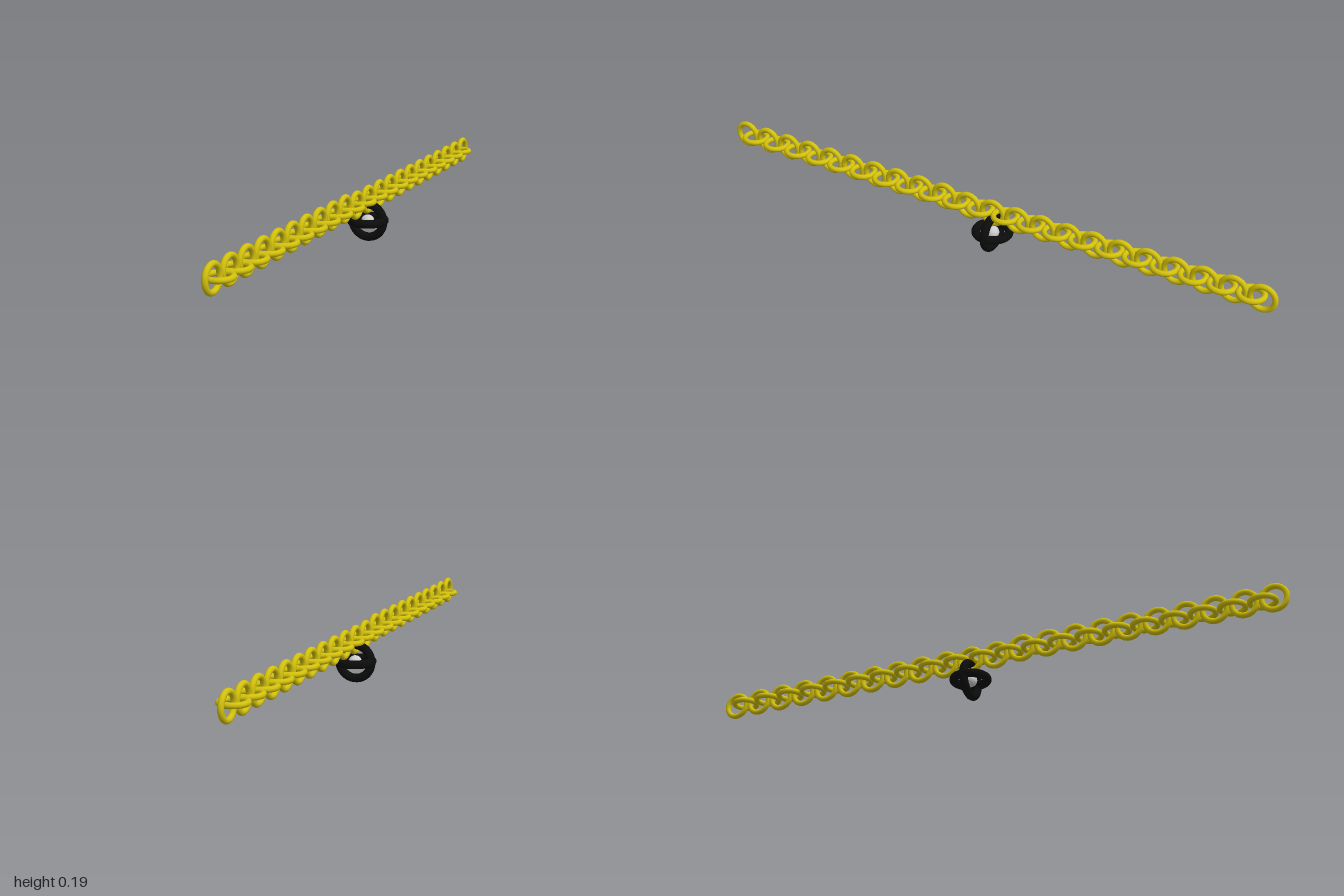
import * as THREE from 'three';

export function createModel() {
  const model = new THREE.Group();
  const gold = new THREE.MeshStandardMaterial({ color: 0xd2c00c });
  const black = new THREE.MeshStandardMaterial({ color: 0x0c0c0c });
  const grey = new THREE.MeshStandardMaterial({ color: 0xcccccc });

  const add = (parent, name, geometry, material, y, z) => {
    const mesh = new THREE.Mesh(geometry, material);
    mesh.name = name;
    mesh.position.set(0, y, z);
    parent.add(mesh);
    return mesh;
  };

  // Chain: upright links alternate with flat links along z
  const chain = new THREE.Group();
  chain.name = 'chain';
  model.add(chain);
  const link = new THREE.TorusGeometry(0.0385, 0.009, 12, 40);

  // The front ten upright links sit slightly higher than the rest
  for (let i = 0; i < 22; i++) {
    const z = 0.9525 - i * (1.905 / 21);
    add(chain, 'uprightLink', link, gold, i < 10 ? 0.147 : 0.14, z).rotation.y = Math.PI / 2;
  }
  for (let i = 0; i < 21; i++) {
    add(chain, 'flatLink', link, gold, 0.142, 0.918 - i * 0.0918).rotation.x = Math.PI / 2;
  }

  // Pendant: two crossed rings around a small ball
  const pendant = new THREE.Group();
  pendant.name = 'pendant';
  pendant.position.set(0, 0.0685, -0.045);
  model.add(pendant);
  const ring = new THREE.TorusGeometry(0.0545, 0.014, 16, 48);
  add(pendant, 'uprightRing', ring, black, 0, 0);
  add(pendant, 'flatRing', ring, black, 0.001, 0).rotation.x = Math.PI / 2;
  add(pendant, 'ball', new THREE.SphereGeometry(0.022, 32, 16), grey, -0.002, 0);

  return model;
}
